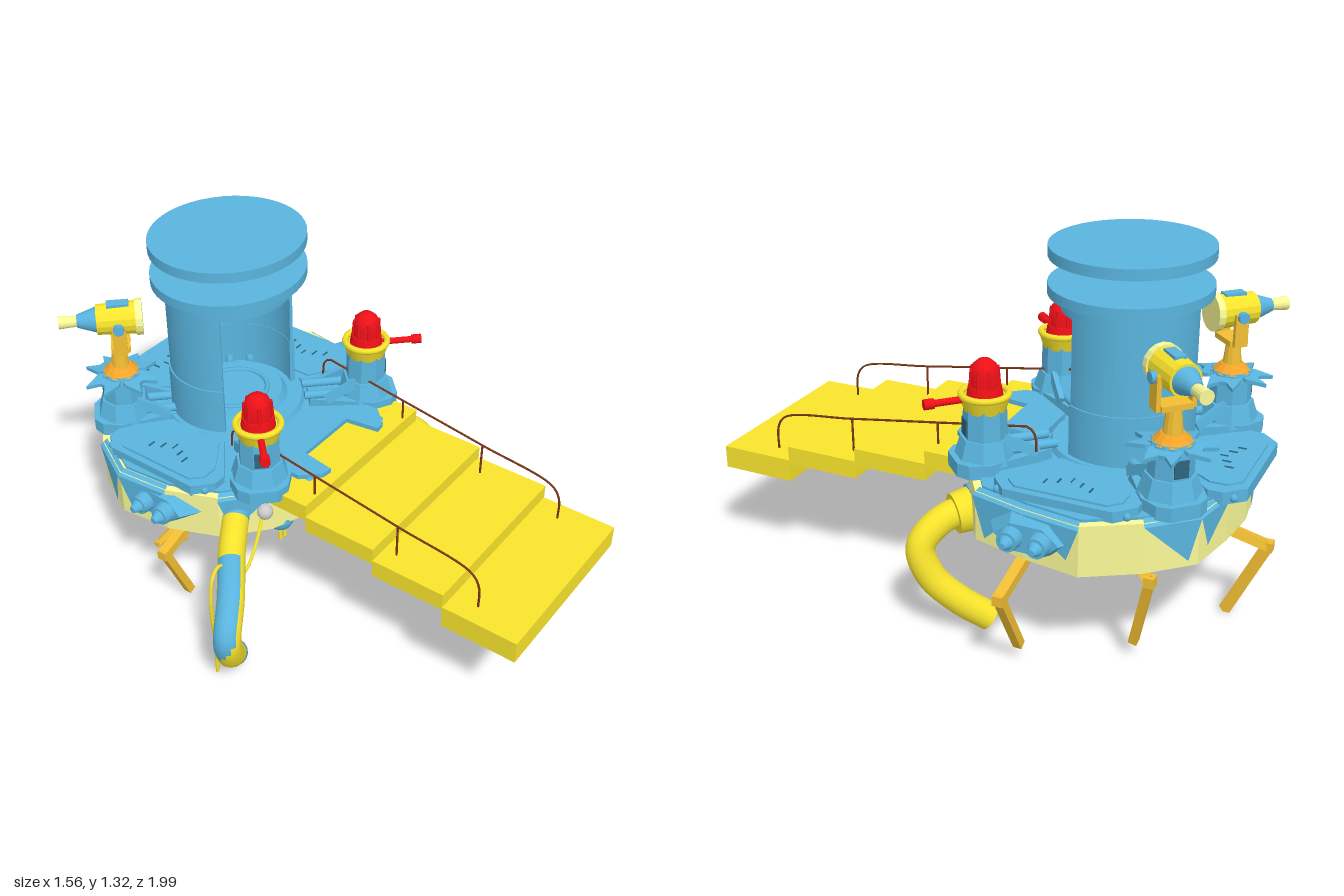
import * as THREE from 'three';

const mat = (color, flatShading = true) =>
  new THREE.MeshStandardMaterial({ color, flatShading, side: THREE.DoubleSide });
const BLUE = mat(0x59b4de), BLUE_S = mat(0x59b4de, false), DARK = mat(0x2f6680);
const YELLOW = mat(0xf8e42c), YELLOW_S = mat(0xf8e42c, false), PALE = mat(0xfafa98);
const GOLD = mat(0xf2bf34), ORANGE = mat(0xf5a528), RED = mat(0xf01018, false);
const BROWN = mat(0x7a3616, false), GREY = mat(0xcccccc, false);
const V = (x, y, z) => new THREE.Vector3(x, y, z);
const CX = 0.055, CZ = -0.425;

function add(parent, name, geometry, material, x = 0, y = 0, z = 0) {
  const m = new THREE.Mesh(geometry, material);
  m.name = name;
  m.position.set(x, y, z);
  parent.add(m);
  return m;
}
const box = (w, h, d) => new THREE.BoxGeometry(w, h, d);
const cyl = (rt, rb, h, n = 24) => new THREE.CylinderGeometry(rt, rb, h, n);

// Horizontal slab from a shape or an outline of [x, z] points
function slab(shape, h) {
  const s = Array.isArray(shape) ? new THREE.Shape(shape.map(([x, z]) => new THREE.Vector2(x, -z))) : shape;
  return new THREE.ExtrudeGeometry(s, { depth: h, bevelEnabled: false, curveSegments: 32 }).rotateX(-Math.PI / 2);
}
// Mirror a half outline of [halfWidth, z] into a closed one
const mirrored = half => [...half, ...half.map(([x, z]) => [-x, z]).reverse()];

// Straight bar between two points
function bar(parent, name, a, b, w, d, material, round = false) {
  const len = a.distanceTo(b);
  const m = add(parent, name, round ? cyl(w, d, len, 16) : box(w, len, d), material);
  m.position.copy(a).lerp(b, 0.5);
  m.quaternion.setFromUnitVectors(V(0, 1, 0), b.clone().sub(a).normalize());
  return m;
}
const tube = (pts, r, n = 40, sides = 8) =>
  new THREE.TubeGeometry(new THREE.CatmullRomCurve3(pts), n, r, sides);

// Keep only the tube quads for which test(segment, normal) holds
function tubePart(geometry, n, sides, test) {
  const g = geometry.clone(), src = geometry.index.array, out = [], normal = V(0, 0, 0);
  for (let i = 0; i < n; i++) for (let j = 0; j < sides; j++) {
    normal.fromBufferAttribute(g.attributes.normal, i * (sides + 1) + j);
    if (test(i, normal)) out.push(...src.slice((i * sides + j) * 6, (i * sides + j) * 6 + 6));
  }
  g.setIndex(out);
  return g;
}

function buildHull(root) {
  const radii = [0.47, 0.51, 0.53, 0.59, 0.57, 0.6, 0.56, 0.55, 0.49, 0.48, 0.49, 0.54, 0.56, 0.59, 0.57, 0.56, 0.53, 0.5];
  const n = radii.length;
  const ring = k => radii.map((r, i) => {
    const a = i / n * Math.PI * 2;
    return [CX + Math.sin(a) * r * k, CZ + Math.cos(a) * r * k];
  });
  add(root, 'hull', slab(ring(1), 0.18), PALE, 0, 0.395);
  add(root, 'hullRim', slab(ring(0.95), 0.025), BLUE, 0, 0.56);
  // Blue wedges hanging over some of the hull faces
  const pos = [], big = ring(1.02), top = ring(0.97);
  for (let i = 0; i < n; i++) {
    if (i % 3 === 2) continue;
    const a = big[i], b = big[(i + 1) % n], c = top[i], d = top[(i + 1) % n], t = i % 2 ? 0.25 : 0.8;
    pos.push(a[0], 0.565, a[1], a[0] + (b[0] - a[0]) * t, 0.42 + 0.03 * (i % 3), a[1] + (b[1] - a[1]) * t, b[0], 0.565, b[1]);
    pos.push(a[0], 0.565, a[1], b[0], 0.565, b[1], d[0], 0.585, d[1], a[0], 0.565, a[1], d[0], 0.585, d[1], c[0], 0.585, c[1]);
  }
  const g = new THREE.BufferGeometry();
  g.setAttribute('position', new THREE.Float32BufferAttribute(pos, 3));
  g.computeVertexNormals();
  add(root, 'hullPatches', g, BLUE);
  // Side housings with twin nozzles
  for (const s of [-1, 1]) {
    const side = new THREE.Group();
    side.name = 'sideNozzles';
    side.position.set(s > 0 ? 0.57 : -0.425, 0.5, -0.36);
    side.rotation.z = -s * Math.PI / 2;
    root.add(side);
    const housing = add(side, 'housing', cyl(0.09, 0.16, 0.14, 6), BLUE, 0, 0.03);
    housing.scale.set(0.62, 1, 1.25);
    for (const z of [-0.05, 0.05]) {
      add(side, 'nozzleCollar', cyl(0.035, 0.042, 0.06, 16), BLUE_S, 0, 0.11, z);
      add(side, 'nozzleTip', cyl(0.012, 0.03, 0.04, 16), BLUE_S, 0, 0.15, z);
    }
  }
}

function buildDeck(root) {
  const oct = Array.from({ length: 8 }, (_, i) => [Math.sin((i + 0.5) * Math.PI / 4) * 0.5, Math.cos((i + 0.5) * Math.PI / 4) * 0.5]);
  add(root, 'deck', slab(oct, 0.03), BLUE, CX, 0.557, CZ);
  for (let k = 0; k < 8; k++) {
    const s = new THREE.Group();
    s.name = k % 2 ? 'deckArm' : 'deckPanel';
    s.position.set(CX, 0, k % 2 ? -0.405 : CZ);
    s.rotation.y = k * Math.PI / 4;
    root.add(s);
    if (k % 2 === 0) {
      const end = k === 0 ? [[0.15, 0.53], [0.13, 0.4]] : [];
      add(s, 'panelFrame', slab(mirrored([[0.11, 0.24], [0.25, 0.41], [0.25, 0.46], [0.19, 0.525], ...end]), 0.045), BLUE, 0, 0.568);
      if (k) {
        add(s, 'panelInset', slab(mirrored([[0.11, 0.27], [0.2, 0.4], [0.2, 0.46], [0.16, 0.5]]), 0.01), BLUE, 0, 0.61);
        for (let i = -2; i <= 2; i++) add(s, 'panelSlit', box(i ? 0.006 : 0.004, 0.004, 0.03), DARK, i * 0.04, 0.621, 0.39 + 0.02 * Math.abs(i));
      }
      for (const x of [-0.225, 0.225]) add(s, 'rimBolt', new THREE.SphereGeometry(0.014, 8, 6), BLUE_S, x, 0.588, 0.49);
    } else buildArm(s, k === 1 || k === 7);
  }
}

// Diagonal arm carrying a warning lamp (front) or a turret (back)
function buildArm(s, lamp) {
  const r = 0.463;
  add(s, 'armPlate', slab(mirrored([[0.05, 0.24], [0.09, 0.4], [0.11, 0.48], [0.09, 0.55], [0.05, 0.58]]), 0.05), BLUE, 0, 0.575);
  for (const x of [-0.04, 0.04]) {
    bar(s, 'armPipe', V(x, 0.64, 0.22), V(x, 0.64, 0.4), 0.016, 0.016, BLUE_S, true);
    bar(s, 'armBrace', V(x * 1.7, 0.63, 0.3), V(x * 1.3, 0.69, 0.42), 0.02, 0.035, BLUE);
  }
  const foot = add(s, 'pedestalFoot', cyl(0.085, 0.11, 0.08, 8), BLUE, 0, 0.65, r);
  foot.rotation.y = Math.PI / 8;
  const pedestal = add(s, 'pedestal', cyl(0.074, 0.078, 0.18, 8), BLUE, 0, 0.71, r);
  pedestal.rotation.y = Math.PI / 8;
  add(s, 'pedestalWindow', box(0.05, 0.06, 0.03), DARK, 0, 0.73, r + 0.06);
  if (lamp) {
    add(s, 'lampDish', cyl(0.087, 0.07, 0.05), YELLOW_S, 0, 0.81, r);
    add(s, 'lampLip', new THREE.TorusGeometry(0.08, 0.012, 8, 24).rotateX(Math.PI / 2), YELLOW_S, 0, 0.842, r);
    add(s, 'lampBase', cyl(0.056, 0.062, 0.035), RED, 0, 0.855, r);
    const dome = [[0.05, 0], [0.05, 0.045], [0.041, 0.075], [0.022, 0.092], [0, 0.096]].map(p => new THREE.Vector2(...p));
    add(s, 'lampDome', new THREE.LatheGeometry(dome, 20), RED, 0, 0.87, r);
    for (let i = 0; i < 8; i++) {
      const a = i * Math.PI / 4, c = Math.cos(a), d = Math.sin(a);
      bar(s, 'lampRib', V(c * 0.051, 0.87, r + d * 0.051), V(c * 0.046, 0.935, r + d * 0.046), 0.006, 0.006, RED, true);
    }
    bar(s, 'lampLever', V(0, 0.83, 0.51), V(0, 0.83, 0.66), 0.012, 0.012, RED, true);
    bar(s, 'leverKnob', V(0, 0.83, 0.64), V(0, 0.83, 0.675), 0.018, 0.018, RED, true);
    return;
  }
  // Flared skirt with four pairs of drooping blades
  for (let i = 0; i < 4; i++) {
    const blade = add(s, 'skirtBlade', slab(mirrored([[0.03, 0.02], [0.055, 0.07], [0.045, 0.14], [0.012, 0.1]]), 0.014), BLUE, 0, 0.79, r);
    blade.rotation.set(0.14, i * Math.PI / 2 + Math.PI / 4, 0, 'YXZ');
  }
  add(s, 'skirtHub', cyl(0.07, 0.078, 0.03, 8), BLUE, 0, 0.79, r);
  add(s, 'turretSeat', cyl(0.04, 0.07, 0.03, 12), ORANGE, 0, 0.815, r);
  add(s, 'turretPost', cyl(0.025, 0.035, 0.1, 12), GOLD, 0, 0.86, r);
  add(s, 'turretYoke', box(0.11, 0.02, 0.07), GOLD, 0, 0.92, r - 0.01);
  for (const x of [-0.062, 0.062]) {
    add(s, 'yokeArm', box(0.016, 0.12, 0.05), GOLD, x, 0.97, r - 0.01);
    add(s, 'yokeBolt', cyl(0.02, 0.02, 0.02, 12).rotateZ(Math.PI / 2), BLUE_S, x * 1.2, 1.02, r - 0.01);
  }
  const y = 1.027;
  bar(s, 'gunRear', V(0, y, 0.365), V(0, y, 0.39), 0.068, 0.068, PALE, true);
  bar(s, 'gunBody', V(0, y, 0.385), V(0, y, 0.53), 0.056, 0.062, YELLOW, true);
  bar(s, 'gunCone', V(0, y, 0.53), V(0, y, 0.6), 0.024, 0.048, BLUE_S, true);
  bar(s, 'gunMuzzle', V(0, y, 0.59), V(0, y, 0.665), 0.025, 0.019, PALE, true);
  add(s, 'gunSight', box(0.04, 0.02, 0.08), BLUE, 0, y + 0.055, 0.45);
}

function buildTower(root) {
  const t = new THREE.Group();
  t.name = 'tower';
  t.position.set(0.053, 0, -0.46);
  t.scale.z = 0.935;
  root.add(t);
  // Curved wall with a wide doorway at the front
  const wall = (ro, ri, half) => {
    const s = new THREE.Shape(), a = -Math.PI / 2 + half, b = 1.5 * Math.PI - half;
    s.absarc(0, 0, ro, a, b, false);
    s.absarc(0, 0, ri, b, a, true);
    return s;
  };
  add(t, 'towerWall', slab(wall(0.247, 0.235, 1.0), 0.52), BLUE_S, 0, 0.6);
  add(t, 'towerFooting', slab(wall(0.253, 0.233, 1.0), 0.2), BLUE_S, 0, 0.6);
  add(t, 'towerHeader', cyl(0.248, 0.248, 0.06, 48), BLUE_S, 0, 1.13);
  add(t, 'towerFlange', cyl(0.296, 0.296, 0.036, 48), BLUE_S, 0, 1.172);
  add(t, 'towerCap', cyl(0.296, 0.296, 0.038, 48), BLUE_S, 0, 1.3);
  add(t, 'towerFloor', cyl(0.27, 0.28, 0.02, 48), BLUE_S, 0, 0.61);
  add(t, 'towerStep', cyl(0.19, 0.21, 0.03, 48), BLUE_S, 0, 0.635);
  add(t, 'floorRing', new THREE.TorusGeometry(0.13, 0.01, 6, 32).rotateX(Math.PI / 2), BLUE_S, 0, 0.65);
}

function buildStairs(root) {
  [[1, 0.715, 0.355, 0.44], [0.715, 0.43, 0.427, 0.495], [0.43, 0.145, 0.48, 0.545], [0.145, -0.05, 0.53, 0.595]]
    .forEach(([z1, z0, y0, y1]) => add(root, 'stairStep', box(0.71, y1 - y0, z1 - z0), YELLOW, 0.055, (y0 + y1) / 2, (z0 + z1) / 2));
  for (const x of [-0.225, 0.335]) {
    const path = [V(x, 0.43, 0.81), V(x, 0.53, 0.805), V(x, 0.575, 0.77), V(x, 0.622, 0.48), V(x, 0.675, 0.13),
      V(x, 0.72, -0.17), V(x, 0.725, -0.215), V(x, 0.7, -0.24), V(x, 0.64, -0.245)];
    add(root, 'handrail', tube(path, 0.004, 60, 6), BROWN);
    bar(root, 'railPost', V(x, 0.43, 0.48), V(x, 0.622, 0.48), 0.004, 0.004, BROWN, true);
    bar(root, 'railPost', V(x, 0.52, 0.13), V(x, 0.675, 0.13), 0.004, 0.004, BROWN, true);
  }
}

function buildPipesAndLegs(root) {
  // Right hose, yellow with a blue upper and outer side
  const n = 40, sides = 16;
  const hose = tube([V(-0.33, 0.49, -0.14), V(-0.5, 0.44, -0.03), V(-0.65, 0.385, 0.085), V(-0.735, 0.3, 0.135), V(-0.71, 0.2, 0.12), V(-0.63, 0.1, 0.07)], 0.049, n, sides);
  const blue = (i, v) => i < 4 || i > 37 || (i > 12 && v.y - v.x > 0.7);
  add(root, 'rightHoseBlue', tubePart(hose, n, sides, blue), BLUE_S);
  add(root, 'rightHoseYellow', tubePart(hose, n, sides, (i, v) => !blue(i, v)), YELLOW_S);
  // Left hose with its collars
  add(root, 'leftHose', tube([V(0.42, 0.43, -0.06), V(0.51, 0.41, 0.02), V(0.585, 0.33, 0.07), V(0.585, 0.22, 0.03), V(0.545, 0.13, -0.05), V(0.485, 0.05, -0.14)], 0.051, n, sides), YELLOW_S);
  bar(root, 'leftHoseCollar', V(0.42, 0.43, -0.06), V(0.48, 0.42, -0.005), 0.072, 0.08, YELLOW_S, true);
  bar(root, 'leftHoseSocket', V(0.36, 0.45, -0.12), V(0.43, 0.43, -0.05), 0.085, 0.085, BLUE_S, true);
  // Loose cable, its plug and the hanging end
  add(root, 'cable', tube([V(-0.31, 0.49, -0.04), V(-0.37, 0.41, -0.02), V(-0.46, 0.34, 0), V(-0.54, 0.37, 0.01), V(-0.6, 0.46, 0.0), V(-0.65, 0.45, 0.01), V(-0.68, 0.36, 0.02), V(-0.67, 0.15, 0.02), V(-0.67, 0.005, 0.02)], 0.007, 60, 6), YELLOW_S);
  add(root, 'cablePlug', new THREE.SphereGeometry(0.03, 12, 8), GREY, -0.31, 0.49, -0.03);
  add(root, 'lowerDome', new THREE.SphereGeometry(0.05, 16, 10), BLUE_S, -0.21, 0.39, -0.04);
  for (const x of [-0.225, -0.2]) bar(root, 'domeHook', V(x, 0.36, -0.03), V(x, 0.3, -0.03), 0.008, 0.005, YELLOW_S, true);

  // Bent legs: hip, knee, foot
  const legs = [
    [V(-0.38, 0.38, -0.31), V(-0.555, 0.315, -0.31), V(-0.44, 0.05, -0.31)],
    [V(0.48, 0.39, -0.31), V(0.76, 0.32, -0.31), V(0.61, 0.06, -0.31)],
    [V(0.05, 0.38, -0.7), V(-0.015, 0.275, -0.975), V(0.035, 0.01, -0.85)],
    [V(0.38, 0.4, -0.58), V(0.5, 0.35, -0.72), V(0.43, 0.06, -0.65)],
    [V(-0.26, 0.25, -0.45), V(-0.39, 0.14, -0.51), V(-0.25, 0.08, -0.49)],
  ];
  legs.forEach(([hip, knee, foot], i) => {
    const w = i === 4 ? 0.02 : 0.036;
    bar(root, 'legUpper', hip, knee, w, w, GOLD);
    bar(root, 'legLower', knee, foot, w * 0.85, w * 0.85, GOLD);
    add(root, 'legKnee', box(w, w, w), GOLD, knee.x, knee.y, knee.z);
  });
}

export function createModel() {
  const root = new THREE.Group();
  root.name = 'walkingPlatform';
  [buildHull, buildDeck, buildTower, buildStairs, buildPipesAndLegs].forEach(build => build(root));
  return root;
}
